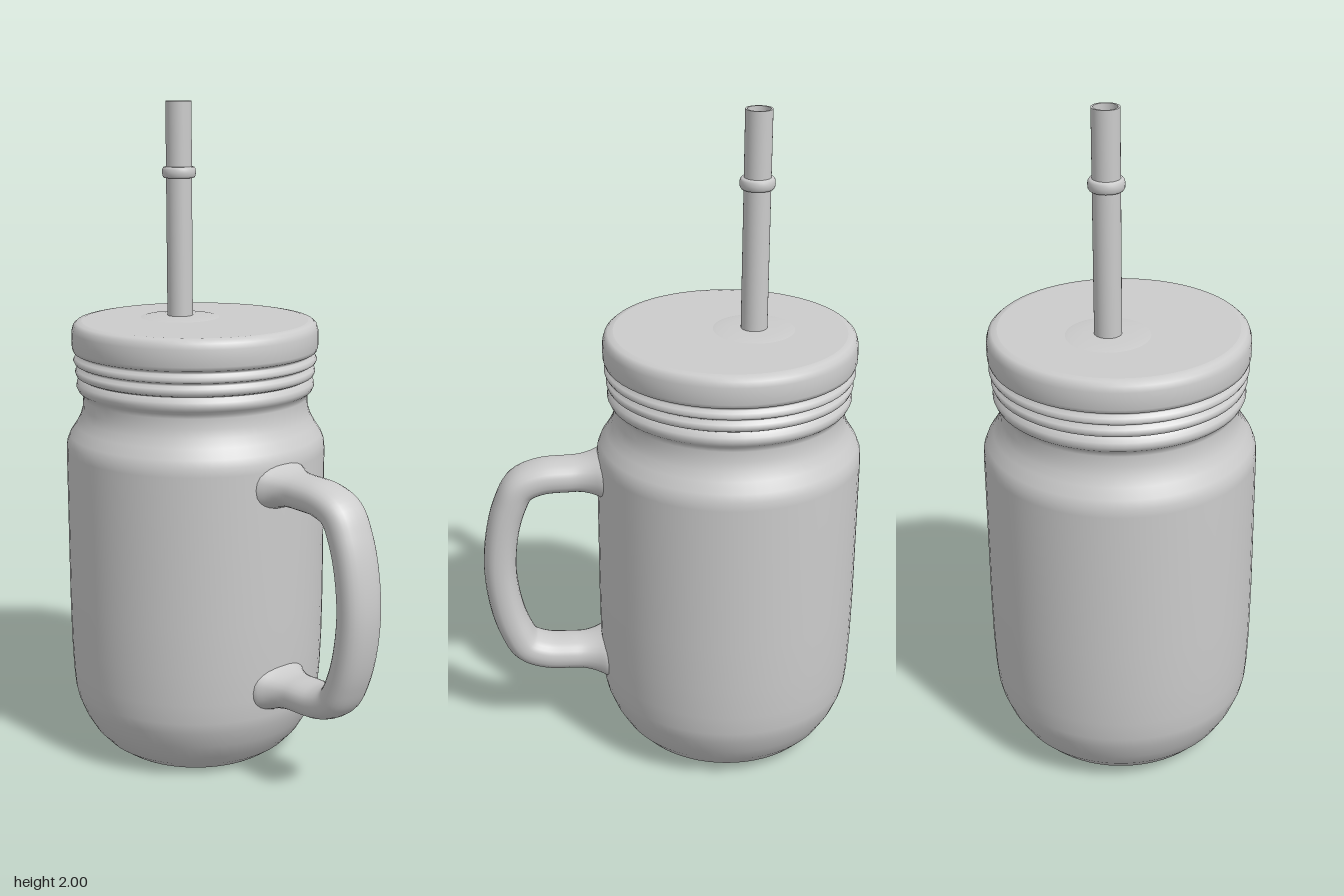
import * as THREE from 'three';

const JAR_X = -0.18, STRAW_X = -0.25;
const material = new THREE.MeshStandardMaterial({ color: 0xcccccc, side: THREE.DoubleSide });

function lathe(name, points, x, segments = 64) {
  const profile = points.map(([r, y]) => new THREE.Vector2(r, y));
  const mesh = new THREE.Mesh(new THREE.LatheGeometry(profile, segments), material);
  mesh.name = name;
  mesh.position.x = x;
  return mesh;
}

// Oval section swept along a planar curve, widening where it meets the jar
function handleGeometry() {
  const upper = [[0.16, 0.91], [0.22, 0.91], [0.3, 0.908], [0.39, 0.902], [0.45, 0.875], [0.485, 0.81], [0.51, 0.72]];
  const lower = upper.map(([x, y]) => [x, 1.195 - y]).reverse();
  const curve = new THREE.CatmullRomCurve3(
    [...upper, [0.522, 0.5975], ...lower].map(([x, y]) => new THREE.Vector3(x, y, 0)), false, 'centripetal');
  const rings = 96, sides = 24, positions = [], index = [];
  for (let i = 0; i <= rings; i++) {
    const p = curve.getPointAt(i / rings), t = curve.getTangentAt(i / rings);
    const flare = Math.pow(THREE.MathUtils.clamp((0.29 - p.x) / 0.09, 0, 1), 2);
    const a = 0.05 + 0.022 * flare, b = 0.07 + 0.035 * flare;
    for (let j = 0; j <= sides; j++) {
      const angle = (j / sides) * Math.PI * 2;
      const c = Math.cos(angle), s = Math.sin(angle);
      // slightly squared oval
      const u = a * Math.sign(c) * Math.pow(Math.abs(c), 0.85);
      const w = b * Math.sign(s) * Math.pow(Math.abs(s), 0.85);
      positions.push(p.x - t.y * u, p.y + t.x * u, w);
      if (i < rings && j < sides) {
        const k = i * (sides + 1) + j, n = k + sides + 1;
        index.push(k, k + 1, n, k + 1, n + 1, n);
      }
    }
  }
  const geometry = new THREE.BufferGeometry();
  geometry.setAttribute('position', new THREE.Float32BufferAttribute(positions, 3));
  geometry.setIndex(index);
  geometry.computeVertexNormals();
  // share normals across the sweep's closing seam
  const normal = geometry.attributes.normal, v = new THREE.Vector3(), w = new THREE.Vector3();
  for (let i = 0; i <= rings; i++) {
    const k = i * (sides + 1), e = k + sides;
    v.fromBufferAttribute(normal, k).add(w.fromBufferAttribute(normal, e)).normalize();
    normal.setXYZ(k, v.x, v.y, v.z);
    normal.setXYZ(e, v.x, v.y, v.z);
  }
  return geometry;
}

export function createModel() {
  const group = new THREE.Group();
  group.name = 'masonJarMug';

  // Jar: flat base, rounded bottom, straight wall, shoulder and neck
  group.add(lathe('jarBase', [[0, 0.003], [0.255, 0.003]], JAR_X));
  group.add(lathe('jarBody', [
    [0.252, 0], [0.26, 0.005], [0.295, 0.03], [0.33, 0.068], [0.358, 0.115], [0.378, 0.165], [0.386, 0.2],
    [0.391, 0.26], [0.395, 0.36], [0.397, 0.5], [0.397, 0.7], [0.397, 0.96], [0.395, 0.985], [0.386, 1.008],
    [0.367, 1.037], [0.353, 1.063], [0.345, 1.09], [0.343, 1.12], [0.345, 1.133],
    [0.357, 1.143], [0.363, 1.156], [0.361, 1.17], [0.35, 1.18], [0.343, 1.19], [0.343, 1.22],
  ], JAR_X));

  // Lid: open skirt with two thread beads, rounded rim and flat top
  group.add(lathe('lidSkirt', [
    [0.335, 1.187], [0.352, 1.185], [0.362, 1.19], [0.366, 1.2], [0.363, 1.21], [0.351, 1.217],
    [0.354, 1.223], [0.367, 1.228], [0.371, 1.236], [0.366, 1.246], [0.356, 1.252], [0.358, 1.258],
    [0.37, 1.263], [0.374, 1.275], [0.375, 1.3], [0.374, 1.325], [0.369, 1.342], [0.359, 1.351], [0.343, 1.354],
  ], JAR_X));
  group.add(lathe('lidTop', [[0.343, 1.354], [0, 1.354]], JAR_X));

  // Shallow raised seat around the straw
  group.add(lathe('strawSeat', [[0.125, 1.353], [0.11, 1.356], [0.07, 1.359], [0, 1.36]], STRAW_X, 48));

  // Hollow straw with a bulged stop ring
  group.add(lathe('strawOuter', [[0.039, 1.33], [0.039, 2]], STRAW_X, 32));
  group.add(lathe('strawRim', [[0.039, 2], [0.033, 2]], STRAW_X, 32));
  group.add(lathe('strawInner', [[0.033, 2], [0.033, 1.36]], STRAW_X, 32));
  group.add(lathe('strawRing', [
    [0.038, 1.774], [0.046, 1.775], [0.05, 1.781], [0.051, 1.791], [0.05, 1.801], [0.046, 1.807], [0.038, 1.808],
  ], STRAW_X, 32));

  const handle = new THREE.Mesh(handleGeometry(), material);
  handle.name = 'handle';
  group.add(handle);

  return group;
}
